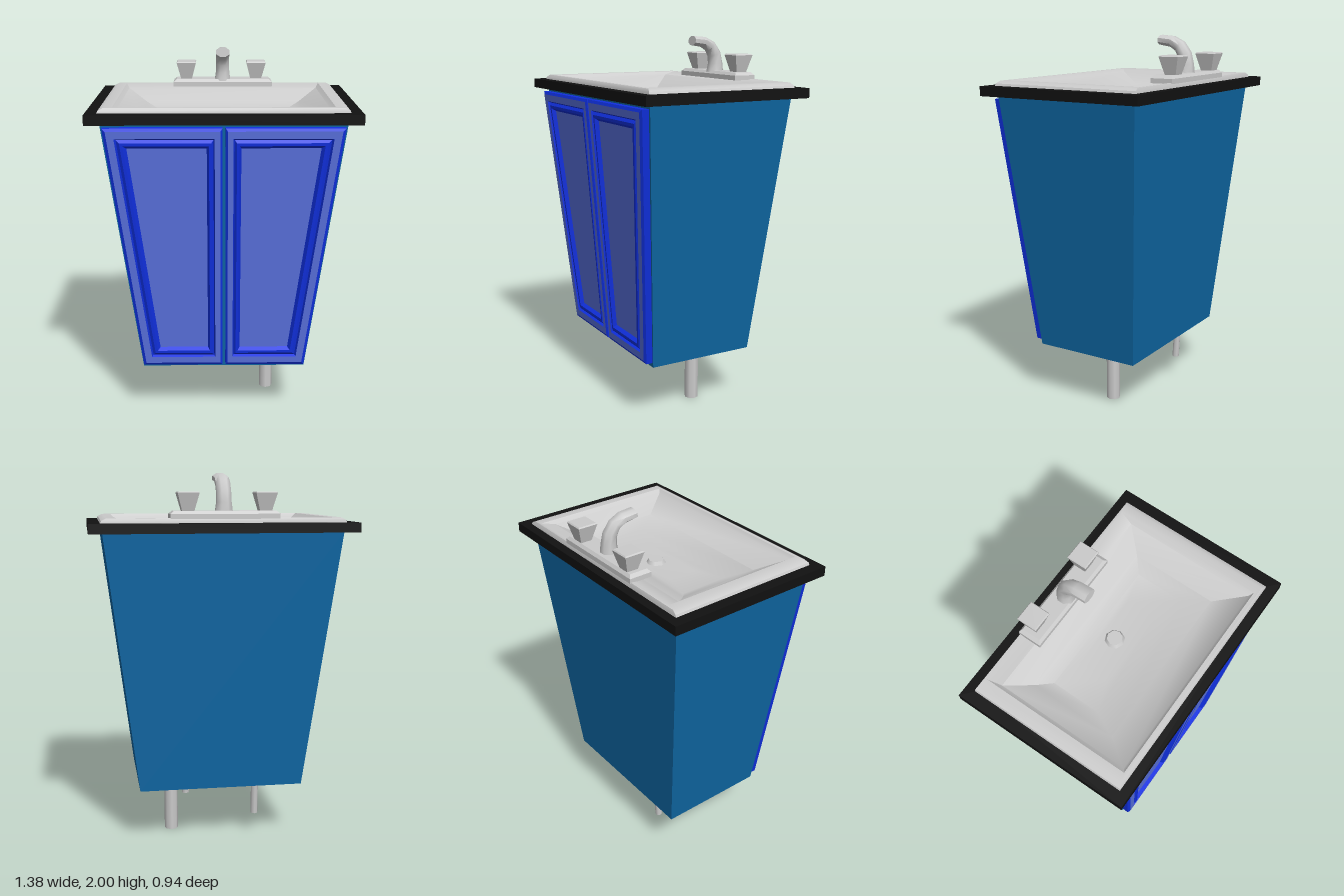
import * as THREE from 'three';
import { toCreasedNormals } from 'three/addons/utils/BufferGeometryUtils.js';

const paint = (color) => new THREE.MeshStandardMaterial({ color });
const grey = paint(0xcccccc);
const black = paint(0x111111);
const teal = paint(0x0f68a5);
const blue = paint(0x1030e0);
const paleBlue = paint(0x5a72e0);

// Skin a list of equal-length rings, optionally closing the first and last one
function loft(rings, { start = false, end = false, crease = 0.6 } = {}) {
  const n = rings[0].length;
  const pos = [];
  const tri = (a, b, c) => pos.push(...a, ...b, ...c);
  for (let i = 0; i < rings.length - 1; i++) {
    for (let j = 0; j < n; j++) {
      const k = (j + 1) % n;
      const [a, b, c, d] = [rings[i][j], rings[i][k], rings[i + 1][k], rings[i + 1][j]];
      tri(a, b, c);
      tri(a, c, d);
    }
  }
  for (let j = 1; j < n - 1; j++) {
    const f = rings[0], l = rings[rings.length - 1];
    if (start) tri(f[0], f[j + 1], f[j]);
    if (end) tri(l[0], l[j], l[j + 1]);
  }
  const g = new THREE.BufferGeometry();
  g.setAttribute('position', new THREE.Float32BufferAttribute(pos, 3));
  return toCreasedNormals(g, crease);
}

// Horizontal rectangle at height y
const rect = (y, x, zBack, zFront) =>
  [[-x, y, zFront], [x, y, zFront], [x, y, zBack], [-x, y, zBack]];

function add(parent, name, geometry, material) {
  const mesh = new THREE.Mesh(geometry, material);
  mesh.name = name;
  parent.add(mesh);
  return mesh;
}

// Leaning, tapered door with a stepped moulding around a flat panel
function makeDoor(side) {
  const door = new THREE.Group();
  door.name = side > 0 ? 'leftDoor' : 'rightDoor';
  const outerX = (y) => 0.44 + (y - 0.335) * 0.123;
  const ring = (inset, depth) => {
    const top = 1.68 - inset, bottom = 0.335 + inset;
    const inner = 0.008 + inset * 0.75;
    const pts = [
      [inner, bottom], [outerX(bottom) - inset, bottom],
      [outerX(top) - inset, top], [inner, top],
    ].map(([x, y]) => [side * x, y, 0.3 + (y - 0.31) * 0.0791 + depth]);
    return side > 0 ? pts : pts.reverse();
  };
  const edge = [ring(0, 0), ring(0, 0.036), ring(0.015, 0.044)];
  const band = [ring(0.015, 0.044), ring(0.052, 0.044)];
  const moulding = [ring(0.052, 0.044), ring(0.06, 0.03), ring(0.075, 0.042),
    ring(0.09, 0.042), ring(0.105, 0.022)];
  add(door, 'doorEdge', loft(edge, { start: true, crease: 0.3 }), blue);
  add(door, 'doorFrame', loft(band), paleBlue);
  add(door, 'doorMoulding', loft(moulding, { crease: 0.3 }), blue);
  add(door, 'doorPanel', loft([ring(0.105, 0.022), ring(0.108, 0.022)], { end: true }), paleBlue);
  return door;
}

function makeFaucet() {
  const faucet = new THREE.Group();
  faucet.name = 'faucet';

  // Deck plate with chamfered top
  add(faucet, 'faucetDeck', loft([
    rect(1.77, 0.28, -0.42, -0.295), rect(1.795, 0.28, -0.42, -0.295),
    rect(1.81, 0.262, -0.408, -0.308),
  ], { start: true, end: true, crease: 0.4 }), grey);

  // Flared square knobs
  for (const x of [-0.207, 0.19]) {
    const knob = add(faucet, 'faucetHandle', loft([
      rect(1.805, 0.03, -0.03, 0.03), rect(1.9, 0.055, -0.055, 0.055),
      rect(1.906, 0.05, -0.05, 0.05),
    ], { start: true, end: true, crease: 0.4 }), grey);
    knob.position.set(x, 0, -0.375);
  }

  // Curved spout: octagonal sections along a path of [z, y, half width, half thickness]
  const path = [
    [-0.345, 1.8, 0.045, 0.045], [-0.347, 1.85, 0.038, 0.038], [-0.338, 1.9, 0.037, 0.035],
    [-0.31, 1.943, 0.037, 0.031], [-0.265, 1.967, 0.037, 0.028], [-0.195, 1.975, 0.038, 0.025],
  ];
  const sections = path.map(([z, y, w, t], i) => {
    const p = path[Math.max(i - 1, 0)], q = path[Math.min(i + 1, path.length - 1)];
    const len = Math.hypot(q[0] - p[0], q[1] - p[1]);
    const dz = (q[0] - p[0]) / len, dy = (q[1] - p[1]) / len;
    return Array.from({ length: 8 }, (_, k) => {
      const a = (k + 0.5) * Math.PI / 4;
      const u = Math.cos(a) * w * 1.08, v = Math.sin(a) * t * 1.08;
      return [u, y + v * dz, z - v * dy];
    });
  });
  add(faucet, 'spout', loft(sections, { start: true, end: true, crease: 0.9 }), grey);
  return faucet;
}

export function createModel() {
  const model = new THREE.Group();
  model.name = 'washbasinCabinet';

  // Tapered cabinet body
  add(model, 'cabinet', loft([rect(0.31, 0.445, -0.295, 0.3), rect(1.7, 0.62, -0.41, 0.41)],
    { start: true }), teal);
  for (const side of [-1, 1]) model.add(makeDoor(side));

  // Counter frame around the basin
  const outline = (x, z) => [[-x, -z], [x, -z], [x, z], [-x, z]].map((p) => new THREE.Vector2(...p));
  const frame = new THREE.Shape(outline(0.69, 0.47));
  frame.holes.push(new THREE.Path(outline(0.615, 0.405)));
  const counter = new THREE.ExtrudeGeometry(frame, { depth: 0.05, bevelEnabled: false });
  counter.rotateX(-Math.PI / 2).translate(0, 1.7, 0);
  add(model, 'counter', counter, black);

  // Shallow basin with a raised rim
  add(model, 'basin', loft([
    rect(1.745, 0.632, -0.422, 0.42), rect(1.762, 0.625, -0.42, 0.418),
    rect(1.775, 0.6, -0.415, 0.408), rect(1.775, 0.555, -0.4, 0.39),
    rect(1.758, 0.535, -0.33, 0.375), rect(1.7, 0.43, -0.22, 0.23),
    rect(1.668, 0.36, -0.16, 0.1), rect(1.662, 0.2, -0.12, 0.04),
  ], { end: true }), grey);

  // Drain stopper
  const drain = add(model, 'drain', new THREE.CylinderGeometry(0.04, 0.052, 0.02, 8), grey);
  drain.position.set(0, 1.67, -0.055);

  model.add(makeFaucet());

  // Waste pipe and two supply pipes under the cabinet: x, z, radius, bottom, tilt
  const pipes = [
    ['wastePipe', 0.255, -0.05, 0.038, 0, 0],
    ['supplyPipe', -0.2, -0.205, 0.02, 0.12, -0.06],
    ['supplyPipe', 0.19, -0.21, 0.02, 0.265, -0.06],
  ];
  for (const [name, x, z, r, bottom, tilt] of pipes) {
    const h = 0.36 - bottom;
    const pipe = add(model, name, new THREE.CylinderGeometry(r, r, h, 8), grey);
    pipe.position.set(x, bottom + h / 2, z);
    pipe.rotation.x = tilt;
  }
  return model;
}
